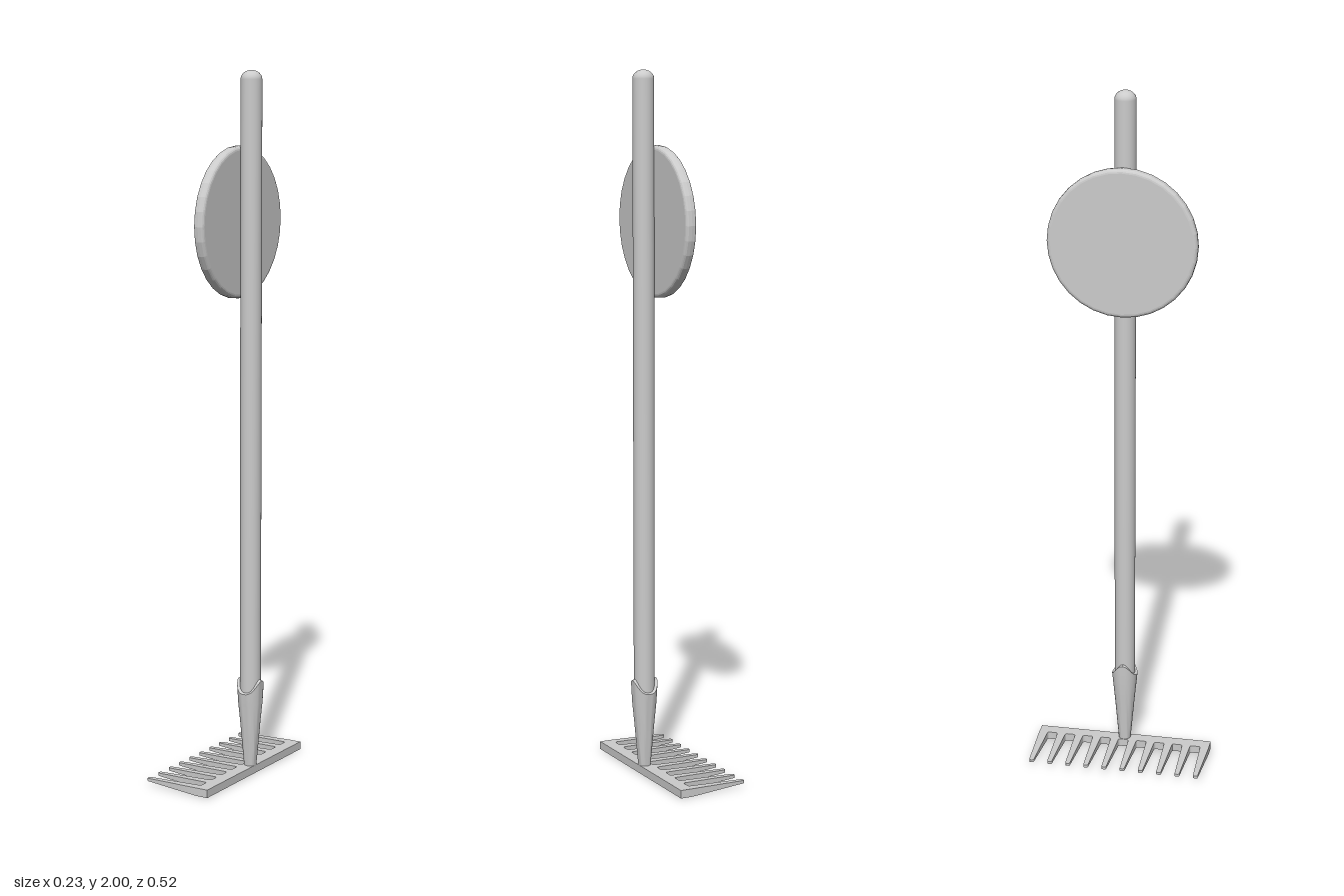
import * as THREE from 'three';
import { toCreasedNormals } from 'three/addons/utils/BufferGeometryUtils.js';

const POLE_X = 0.075;
const grey = new THREE.MeshStandardMaterial({ color: 0xcccccc });
const greyOpen = new THREE.MeshStandardMaterial({ color: 0xcccccc, side: THREE.DoubleSide });
const points = list => list.map(([x, y]) => new THREE.Vector2(x, y));

function addPart(group, name, geometry, material = grey) {
  const mesh = new THREE.Mesh(geometry, material);
  mesh.name = name;
  group.add(mesh);
  return mesh;
}

// Comb outline: straight back bar, ten tapered tines with rounded tips
function rakeHeadGeometry() {
  const count = 10, pitch = 0.0547, back = 0.092, root = 0.055, tip = -0.114;
  const half = 0.26;
  const s = new THREE.Shape();
  s.moveTo(back, -half);
  s.lineTo(back, half);
  for (let i = count - 1; i >= 0; i--) {
    const z = (i - (count - 1) / 2) * pitch;
    const last = i === count - 1, first = i === 0;
    if (last) s.lineTo(root, half);
    else {
      s.lineTo(root, z + 0.018);
      s.quadraticCurveTo(root, z + 0.013, root - 0.006, z + 0.012);
    }
    s.lineTo(tip + 0.006, z + 0.007);
    s.quadraticCurveTo(tip, z + 0.007, tip, z);
    s.quadraticCurveTo(tip, z - 0.007, tip + 0.006, z - 0.007);
    if (first) s.lineTo(root, -half);
    else {
      s.lineTo(root - 0.006, z - 0.012);
      s.quadraticCurveTo(root, z - 0.013, root, z - 0.018);
    }
  }
  s.closePath();
  const g = new THREE.ExtrudeGeometry(s, { depth: 1, bevelEnabled: false, curveSegments: 4 });
  g.rotateX(Math.PI / 2);
  // Tines thin out toward their tips
  const p = g.attributes.position;
  for (let i = 0; i < p.count; i++) {
    const t = THREE.MathUtils.clamp((root - p.getX(i)) / (root - tip), 0, 1);
    const top = p.getY(i) > -0.5;
    p.setY(i, top ? 0.023 - 0.003 * t : 0.012 * t);
  }
  g.computeVertexNormals();
  return toCreasedNormals(g, 0.6);
}

// Tapered socket whose rim rises to a point on the two x sides
function socketGeometry() {
  const profile = points([[0, 0.004], [0.016, 0.004], [0.022, 0.07], [0.029, 0.15],
    [0.035, 0.21], [0.038, 0.24], [0.03, 0.243]]);
  const g = new THREE.LatheGeometry(profile, 32);
  const p = g.attributes.position;
  for (let i = 0; i < p.count; i++) {
    const y = p.getY(i);
    if (y < 0.235) continue;
    const c = Math.abs(p.getX(i)) / Math.hypot(p.getX(i), p.getZ(i));
    p.setY(i, y + 0.037 * c ** 3);
  }
  return toCreasedNormals(g, 0.6);
}

export function createModel() {
  const model = new THREE.Group();
  model.name = 'rake';

  // Pole with a domed end
  const pole = points([[0, 0.1], [0.023, 0.1], [0.03, 0.2], [0.03, 1.975]]);
  for (let i = 1; i <= 6; i++) {
    const a = i / 6 * Math.PI / 2;
    pole.push(new THREE.Vector2(0.03 * Math.cos(a), 1.975 + 0.025 * Math.sin(a)));
  }
  addPart(model, 'handle', new THREE.LatheGeometry(pole, 32)).position.x = POLE_X;

  addPart(model, 'socket', socketGeometry(), greyOpen).position.x = POLE_X;
  addPart(model, 'rakeHead', rakeHeadGeometry());

  // Round plate with a rounded rim, standing beside the pole
  const R = 0.212, h = 0.016, r = 0.011;
  const plate = points([[0, -h]]);
  for (let i = 0; i <= 8; i++) {
    const a = (i / 8 - 0.5) * Math.PI;
    plate.push(new THREE.Vector2(R - r + r * Math.cos(a), Math.sign(i - 4) * (h - r) + r * Math.sin(a)));
  }
  plate.push(new THREE.Vector2(0, h));
  const disc = new THREE.LatheGeometry(plate, 32).rotateZ(Math.PI / 2);
  const flat = grey.clone();
  flat.flatShading = true;
  addPart(model, 'roundPlate', disc, flat).position.set(0.034, 1.582, 0);

  return model;
}
